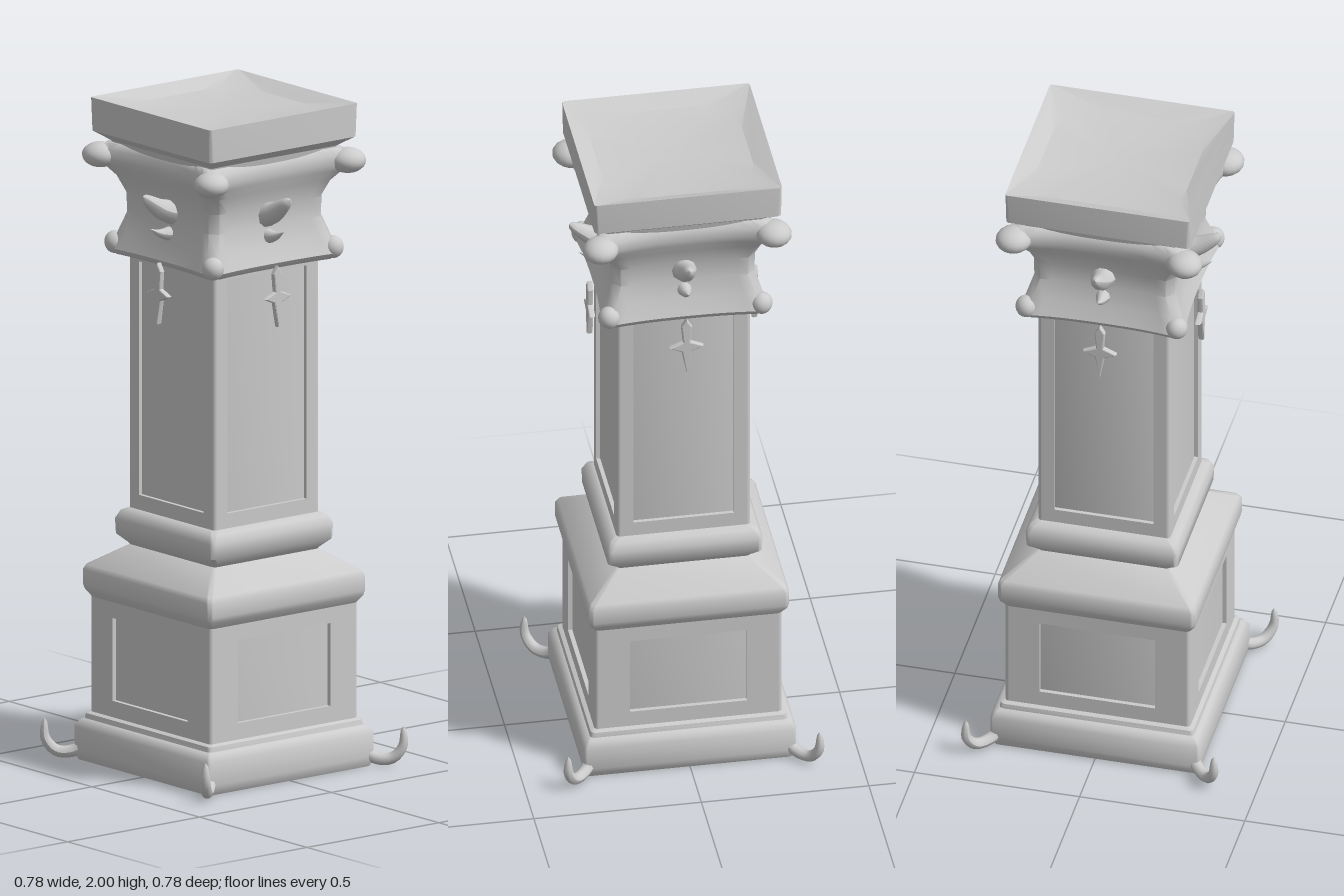
import * as THREE from 'three';
import { toCreasedNormals } from 'three/addons/utils/BufferGeometryUtils.js';

const material = new THREE.MeshStandardMaterial({ color: 0xcccccc });

function add(parent, name, geometry) {
  const mesh = new THREE.Mesh(geometry, material);
  mesh.name = name;
  parent.add(mesh);
  return mesh;
}

// Repeats one side's [x, z] points around the four sides
function fourSides(side) {
  const ring = [];
  for (let k = 0; k < 4; k++) {
    ring.push(...side);
    side = side.map(([x, z]) => [-z, x]);
  }
  return ring;
}

// Square of half-width w whose corners are rounded by r
function roundedSquare(w, r) {
  const corner = [];
  for (let i = 0; i <= 4; i++) {
    const a = (i / 4) * Math.PI / 2;
    corner.push([w - r + r * Math.cos(a), w - r + r * Math.sin(a)]);
  }
  return fourSides(corner);
}

// Square with hollow sides: a at mid-face, c at the blunt corners
function hollowSquare(a, c) {
  const side = [];
  for (let i = 0; i <= 12; i++) {
    const t = (i / 6 - 1) * 0.88;
    side.push([a + (c - a) * Math.abs(t) ** 2.5, t * c]);
  }
  return fourSides(side);
}

// Skins a stack of rings, each { y, ring }, and closes both ends
function loft(levels, crease) {
  const n = levels[0].ring.length, pos = [], index = [];
  levels.forEach(({ y, ring }) => ring.forEach(([x, z]) => pos.push(x, y, z)));
  const last = levels.length - 1, base = pos.length / 3;
  pos.push(0, levels[0].y, 0, 0, levels[last].y, 0);
  for (let i = 0; i < n; i++) {
    const k = (i + 1) % n;
    for (let j = 0; j < last; j++) {
      const a = j * n + i, b = j * n + k;
      index.push(a, a + n, b + n, a, b + n, b);
    }
    index.push(base, i, k, base + 1, last * n + k, last * n + i);
  }
  const g = new THREE.BufferGeometry();
  g.setAttribute('position', new THREE.Float32BufferAttribute(pos, 3));
  g.setIndex(index);
  return toCreasedNormals(g, crease);
}

// Mouldings from [y, half-width, corner radius] rows
const moulding = (rows, crease = 0.85) =>
  loft(rows.map(([y, w, r = 0.014]) => ({ y, ring: roundedSquare(w, r) })), crease);

// Tube whose radius follows radiusAt(u)
function taperedTube(points, radiusAt, segments = 14, sides = 10) {
  const curve = new THREE.CatmullRomCurve3(points.map(p => new THREE.Vector3(...p)));
  const g = new THREE.TubeGeometry(curve, segments, 1, sides);
  const p = g.attributes.position, v = new THREE.Vector3();
  for (let i = 0; i < p.count; i++) {
    const u = Math.floor(i / (sides + 1)) / segments, c = curve.getPointAt(u);
    v.fromBufferAttribute(p, i).sub(c).multiplyScalar(radiusAt(u)).add(c);
    p.setXYZ(i, v.x, v.y, v.z);
  }
  g.computeVertexNormals();
  return g;
}

// Frame around a sunken panel, facing +z
function panelFrame(w, y0, y1, panelW, p0, p1, z) {
  const rect = (shape, h, a, b) =>
    shape.moveTo(-h, a).lineTo(h, a).lineTo(h, b).lineTo(-h, b).closePath();
  const shape = rect(new THREE.Shape(), w, y0, y1);
  shape.holes.push(rect(new THREE.Path(), panelW, p0, p1));
  return new THREE.ExtrudeGeometry(shape, { depth: 0.02, bevelEnabled: false }).translate(0, 0, z - 0.02);
}

// Rounded arris between two frames, w from the axis on both sides
const arris = (w, y0, y1) =>
  new THREE.CylinderGeometry(0.012, 0.012, y1 - y0, 24, 1, true).translate(0, (y0 + y1) / 2, w * Math.SQRT2);

// Four-pointed pendant star
function pendantStar() {
  const pts = [[0, 1.54], [-0.012, 1.52], [-0.007, 1.465], [-0.045, 1.45], [-0.011, 1.436],
    [0, 1.365], [0.011, 1.436], [0.045, 1.45], [0.007, 1.465], [0.012, 1.52]];
  const shape = new THREE.Shape(pts.map(p => new THREE.Vector2(...p)));
  return new THREE.ExtrudeGeometry(shape, {
    depth: 0.008, bevelThickness: 0.005, bevelSize: 0.004, bevelSegments: 2,
  }).translate(0, 0, 0.242);
}

export function createModel() {
  const model = new THREE.Group();
  model.name = 'column';

  // Pedestal
  add(model, 'plinth', moulding([
    [0, 0.308], [0.015, 0.315], [0.03, 0.317], [0.1, 0.317], [0.12, 0.306], [0.125, 0.295], [0.14, 0.292], [0.15, 0.27]]));
  add(model, 'pedestalCore', moulding([[0.12, 0.267], [0.53, 0.267]]));
  add(model, 'pedestalCornice', moulding([
    [0.49, 0.278], [0.515, 0.295], [0.53, 0.299], [0.575, 0.299], [0.59, 0.291], [0.65, 0.205], [0.66, 0.19]]));

  // Shaft
  add(model, 'shaftFoot', moulding([
    [0.64, 0.19], [0.66, 0.205], [0.685, 0.23], [0.73, 0.232], [0.755, 0.22], [0.765, 0.2]]));
  add(model, 'shaftCore', moulding([[0.74, 0.188], [1.56, 0.188]]));

  // Capital
  const rows = [[1.525, 0.195, 0.21], [1.532, 0.225, 0.24], [1.55, 0.238, 0.257], [1.6, 0.218, 0.238],
    [1.66, 0.204, 0.216], [1.72, 0.207, 0.217], [1.77, 0.222, 0.24], [1.8, 0.236, 0.268],
    [1.82, 0.241, 0.288], [1.85, 0.239, 0.288], [1.868, 0.224, 0.263]];
  add(model, 'capital', loft(rows.map(([y, a, c]) => ({ y, ring: hollowSquare(a, c) })), 0.9));

  // Abacus with a dished top and a flat bed in its middle
  add(model, 'abacus', moulding([
    [1.85, 0.235], [1.872, 0.24], [1.885, 0.258], [1.9, 0.279], [2, 0.28, 0.008],
    [1.974, 0.225, 0.13]], 0.42));

  for (let k = 0; k < 4; k++) {
    // Ornaments of one face
    const face = new THREE.Group();
    face.name = 'face' + (k + 1);
    face.rotation.y = k * Math.PI / 2;
    model.add(face);
    add(face, 'pedestalPanelFrame', panelFrame(0.268, 0.13, 0.52, 0.175, 0.195, 0.445, 0.28));
    add(face, 'shaftPanelFrame', panelFrame(0.188, 0.75, 1.55, 0.15, 0.81, 1.515, 0.2));
    add(face, 'leafSpike', taperedTube(
      [[0, 1.69, 0.19], [0, 1.705, 0.235], [0, 1.73, 0.275], [0, 1.755, 0.308]],
      u => (0.04 - 0.026 * u) * Math.sqrt(1 - u ** 10)));
    add(face, 'leafThorn', taperedTube(
      [[0, 1.625, 0.19], [0, 1.633, 0.24], [0, 1.652, 0.28]], u => 0.028 * (1 - u)));
    add(face, 'pendantStar', pendantStar());

    // Ornaments of one corner, built along +z
    const corner = new THREE.Group();
    corner.name = 'corner' + (k + 1);
    corner.rotation.y = (k + 0.5) * Math.PI / 2;
    model.add(corner);
    add(corner, 'pedestalArris', arris(0.268, 0.13, 0.52));
    add(corner, 'shaftArris', arris(0.188, 0.75, 1.55));
    // Horn knob above, small bulb below
    add(corner, 'hornKnob', new THREE.SphereGeometry(1, 16, 12).scale(0.052, 0.038, 0.055).translate(0, 1.828, 0.365));
    add(corner, 'lowerBulb', new THREE.SphereGeometry(1, 16, 12).scale(0.033, 0.034, 0.032).translate(0, 1.565, 0.322));
    add(corner, 'clawFoot', taperedTube(
      [[0, 0.055, 0.4], [0, 0.025, 0.445], [0, 0.024, 0.495], [0, 0.06, 0.528], [0, 0.122, 0.53]],
      u => 0.019 * Math.sqrt(1 - u * u * 0.75) * Math.sqrt(1 - u ** 12), 18));
  }
  return model;
}
